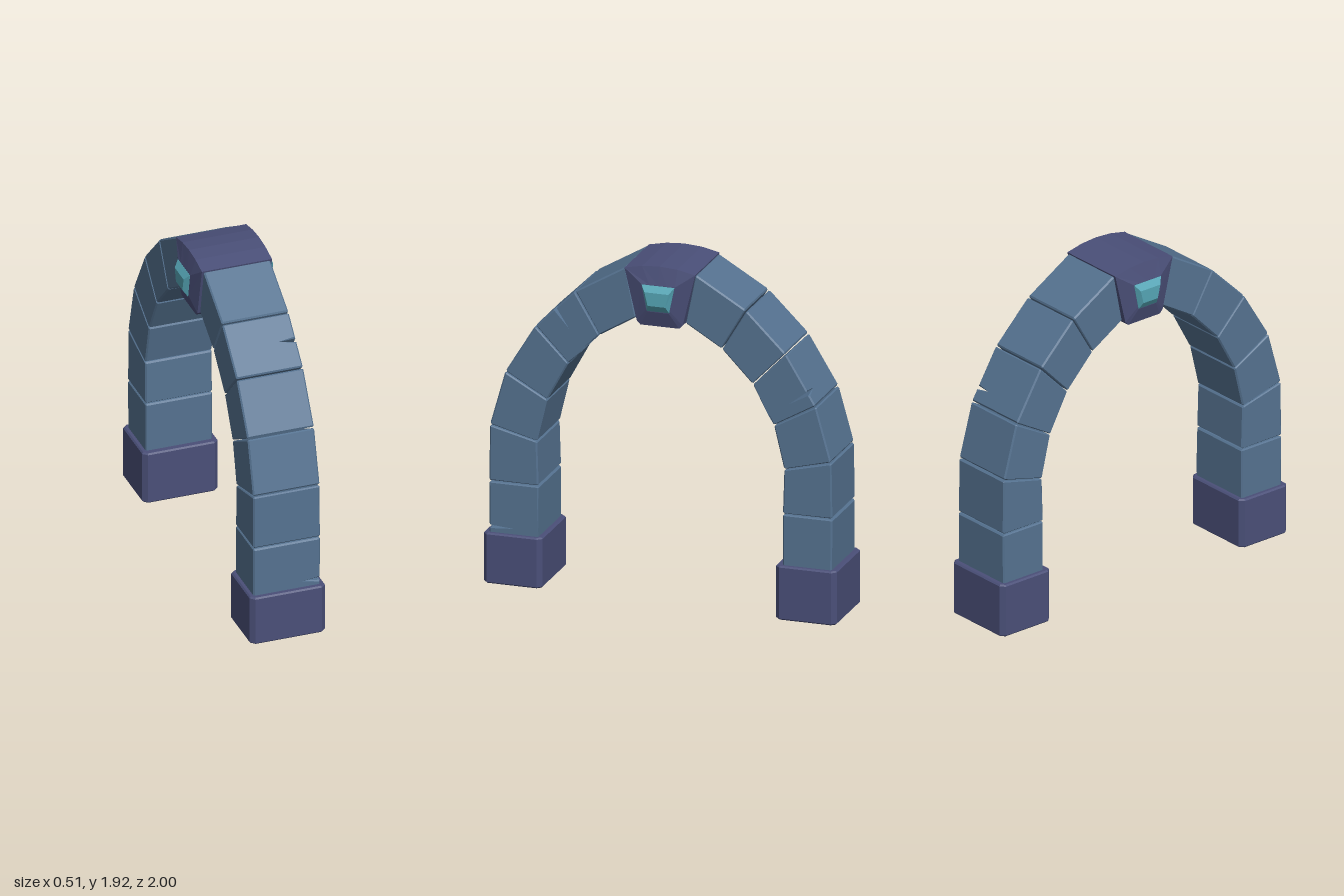
import * as THREE from 'three';

const flat = (name, color) => {
  const m = new THREE.MeshStandardMaterial({ color });
  m.name = name;
  return m;
};

const HALF = 0.19;    // half width of the arch
const BEVEL = 0.008;
const GAP = 0.004;    // half of each joint

// Joints of one half of the arch, from foot to keystone: [z, y]
const OUTER = [[0.97, 0.29], [0.972, 0.593], [0.967, 0.912], [0.88, 1.222], [0.71, 1.5], [0.485, 1.722], [0.195, 1.893]];
const INNER = [[0.692, 0.29], [0.692, 0.593], [0.7, 0.845], [0.642, 1.088], [0.522, 1.308], [0.347, 1.488], [0.14, 1.612]];

const mix = (a, b, t) => [a[0] + (b[0] - a[0]) * t, a[1] + (b[1] - a[1]) * t];

// Bevelled slab bent into a wedge between joints i and i + 1, with an optional corner crack
function stoneGeometry(i, crack) {
  const length = Math.hypot(OUTER[i + 1][0] - OUTER[i][0], OUTER[i + 1][1] - OUTER[i][1]);
  const depth = 0.275, c = 0.006, lo = GAP, hi = length - GAP;
  const side = crack ? crack.side : 1, at = crack ? crack.t * length : 0;
  const pts = [[-HALF, hi - c], [-HALF, lo + c], [-HALF + c, lo], [HALF - c, lo], [HALF, lo + c]];
  if (crack) pts.push([HALF, at - 0.01], [HALF - crack.size, at + 0.004], [HALF, at + 0.01]);
  pts.push([HALF, hi - c], [HALF - c, hi], [-HALF + c, hi]);
  const shape = new THREE.Shape(pts.map(([x, y]) => new THREE.Vector2(x * side, y)));
  const geo = new THREE.ExtrudeGeometry(shape, {
    depth: depth - 2 * BEVEL, steps: 2, bevelEnabled: true, bevelSegments: 1,
    bevelThickness: BEVEL, bevelSize: BEVEL, bevelOffset: -BEVEL,
  });
  const p = geo.attributes.position;
  for (let k = 0; k < p.count; k++) {
    let x = p.getX(k), y = p.getY(k);
    const w = (p.getZ(k) + BEVEL) / depth;
    // the crack closes halfway through the stone
    if (crack && x * side > 0 && Math.abs(y - at) < 0.022) {
      const open = w > 0.7 ? 1 : 0;
      x = side * HALF + (x - side * HALF) * open;
      y = at + (y - at) * open;
    }
    const t = y / length;
    const [z, h] = mix(mix(INNER[i], INNER[i + 1], t), mix(OUTER[i], OUTER[i + 1], t), w);
    p.setXYZ(k, x, h, z);
  }
  geo.computeVertexNormals();
  return geo;
}

// Flat-faced loft through rings [x, [[z, y], ...]] with both ends closed
function loft(rings) {
  const v = [];
  const add = (...corners) => corners.forEach(([x, [z, y]]) => v.push(x, y, z));
  const n = rings[0][1].length;
  for (let r = 0; r < rings.length - 1; r++) {
    const [x0, p] = rings[r], [x1, q] = rings[r + 1];
    for (let j = 0; j < n; j++) {
      const k = (j + 1) % n;
      add([x0, p[j]], [x1, q[k]], [x0, p[k]]);
      add([x0, p[j]], [x1, q[j]], [x1, q[k]]);
    }
  }
  const [xa, a] = rings[0], [xb, b] = rings[rings.length - 1];
  for (let j = 1; j < n - 1; j++) {
    add([xa, a[0]], [xa, a[j]], [xa, a[j + 1]]);
    add([xb, b[0]], [xb, b[j + 1]], [xb, b[j]]);
  }
  const geo = new THREE.BufferGeometry();
  geo.setAttribute('position', new THREE.Float32BufferAttribute(v, 3));
  geo.computeVertexNormals();
  return geo;
}

// Block with chamfered upright edges
function footGeometry(w, d, h) {
  const c = 0.025, x = w / 2, y = d / 2, b = 0.008;
  const shape = new THREE.Shape([
    [-x + c, -y], [x - c, -y], [x, -y + c], [x, y - c], [x - c, y], [-x + c, y], [-x, y - c], [-x, -y + c],
  ].map(([px, py]) => new THREE.Vector2(px, py)));
  const geo = new THREE.ExtrudeGeometry(shape, {
    depth: h - 2 * b, bevelEnabled: true, bevelSegments: 1, bevelThickness: b, bevelSize: b, bevelOffset: -b,
  });
  return geo.translate(0, 0, b).rotateX(-Math.PI / 2);
}

export function createModel() {
  const model = new THREE.Group();
  model.name = 'stoneArch';
  const stone = flat('blueStone', 0x557290);
  const trim = flat('purpleStone', 0x4a4f78);
  const gem = flat('tealCrystal', 0x55a5b5);
  const add = (name, geo, mat, parent = model) => {
    const mesh = new THREE.Mesh(geo, mat);
    mesh.name = name;
    parent.add(mesh);
    return mesh;
  };

  // Two curved halves; the back one is the front one turned around
  const halves = [
    { name: 'front', turn: 0, cracks: { 0: { t: 0.15, side: 1, size: 0.09 }, 4: { t: 0.5, side: 1, size: 0.085 } } },
    { name: 'back', turn: Math.PI, cracks: { 3: { t: 0.25, side: -1, size: 0.08 } } },
  ];
  for (const { name, turn, cracks } of halves) {
    const half = new THREE.Group();
    half.name = name + 'HalfArch';
    half.rotation.y = turn;
    for (let i = 0; i < OUTER.length - 1; i++) add(name + 'Stone' + (i + 1), stoneGeometry(i, cracks[i]), stone, half);
    model.add(half);
  }

  // Feet
  add('frontFoot', footGeometry(0.43, 0.333, 0.285), trim).position.set(0, 0.02, 0.8335);
  add('backFoot', footGeometry(0.43, 0.345, 0.305), trim).position.set(0, 0, -0.8275);

  // Keystone, its sides rising to a rim around each crystal
  const body = [[0.2, 1.892], [0.1, 1.913], [0, 1.92], [-0.1, 1.913], [-0.2, 1.892],
    [-0.13, 1.6], [-0.11, 1.58], [0.11, 1.58], [0.13, 1.6]];
  const rim = [[0.095, 1.82], [0.05, 1.82], [0, 1.82], [-0.05, 1.82], [-0.095, 1.82],
    [-0.068, 1.68], [-0.06, 1.668], [0.06, 1.668], [0.068, 1.68]];
  add('keystone', loft([[-0.228, rim], [-0.2, body], [0.2, body], [0.228, rim]]), trim);

  // Crystals set in both sides of the keystone
  const base = [[0.093, 1.818], [-0.093, 1.818], [-0.063, 1.672], [0.063, 1.672]];
  const face = [[0.068, 1.785], [-0.068, 1.785], [-0.05, 1.71], [0.05, 1.71]];
  const crystal = loft([[0.22, base], [0.23, base], [0.256, face]]);
  add('leftCrystal', crystal, gem);
  add('rightCrystal', crystal, gem).rotation.y = Math.PI;

  return model;
}
